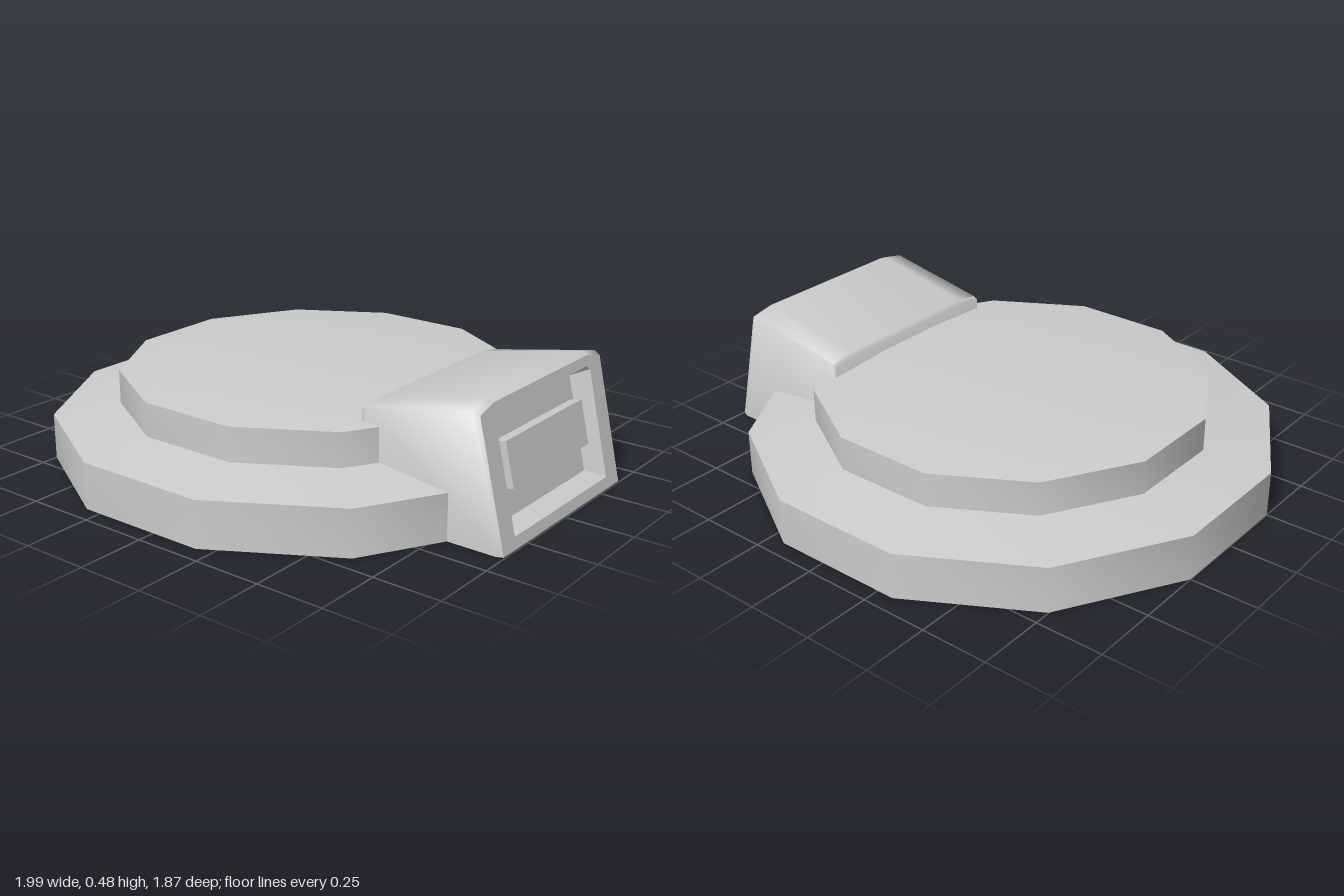
import * as THREE from 'three';
import { toCreasedNormals } from 'three/addons/utils/BufferGeometryUtils.js';

const TILT = 0.234; // how far the display face leans back per unit of height
const ANGLE = Math.atan(TILT);

// Six-point cross-section: square at the foot, chamfered at the top corners.
function section(xAt, half, halfTop, bottom, side, top) {
  return [[half, bottom], [half, side], [halfTop, top], [-halfTop, top], [-half, side], [-half, bottom]]
    .map(([z, y]) => new THREE.Vector3(xAt(y), y, z));
}

// Skin a row of cross-sections running towards +x.
function loft(loops, capStart, capEnd, crease) {
  const pos = [];
  const tri = (...pts) => pts.forEach((p) => pos.push(p.x, p.y, p.z));
  const n = loops[0].length;
  for (let i = 0; i < loops.length - 1; i++) {
    for (let j = 0; j < n; j++) {
      const k = (j + 1) % n;
      const a = loops[i][j], b = loops[i][k], c = loops[i + 1][j], d = loops[i + 1][k];
      tri(a, c, b);
      tri(c, d, b);
    }
  }
  const first = loops[0], last = loops[loops.length - 1];
  for (let j = 1; j < n - 1; j++) {
    if (capStart) tri(first[0], first[j], first[j + 1]);
    if (capEnd) tri(last[0], last[j + 1], last[j]);
  }
  const g = new THREE.BufferGeometry();
  g.setAttribute('position', new THREE.Float32BufferAttribute(pos, 3));
  return toCreasedNormals(g, crease);
}

export function createModel() {
  const model = new THREE.Group();
  const grey = new THREE.MeshStandardMaterial({ color: 0xcccccc });
  grey.name = 'light grey';

  const add = (name, geometry) => {
    const mesh = new THREE.Mesh(geometry, grey);
    mesh.name = name;
    model.add(mesh);
    return mesh;
  };

  // Two-tier twelve-sided platform
  const profile = [[0, 0], [0.97, 0], [0.97, 0.17], [0.725, 0.205], [0.725, 0.33], [0.48, 0.355], [0, 0.355]]
    .map(([r, y]) => new THREE.Vector2(r, y));
  const disc = new THREE.LatheGeometry(profile, 12, Math.PI / 12);
  add('platform', toCreasedNormals(disc, 0.7)).position.x = -0.0625;

  // Display housing, with its front edge leaning back
  const front = section((y) => 0.995 - TILT * y, 0.39, 0.305, 0, 0.45, 0.47);
  add('displayHousing', loft([
    section(() => 0.445, 0.4, 0.31, 0, 0.375, 0.387),
    section(() => 0.46, 0.4, 0.31, 0, 0.385, 0.4),
    section((y) => 0.97 - 0.229 * y, 0.4, 0.31, 0, 0.46, 0.48),
    front,
  ], true, false, 1.42));

  // Front frame and tapered recess
  const depth = 0.06;
  const opening = section((y) => 0.995 - TILT * y, 0.31, 0.29, 0.04, 0.42, 0.435);
  const recess = section((y) => 0.995 - TILT * y, 0.27, 0.26, 0.075, 0.41, 0.42);
  recess.forEach((p) => {
    p.x -= depth * Math.cos(ANGLE);
    p.y -= depth * Math.sin(ANGLE);
  });
  add('displayFrame', loft([front, opening, recess], false, true, 0.6));

  // Raised screen panel inside the recess
  const screen = add('screen', new THREE.BoxGeometry(0.06, 0.16, 0.5));
  screen.position.set(0.995 - TILT * 0.255 - 0.045 * Math.cos(ANGLE), 0.243, 0);
  screen.rotation.z = ANGLE;

  return model;
}
